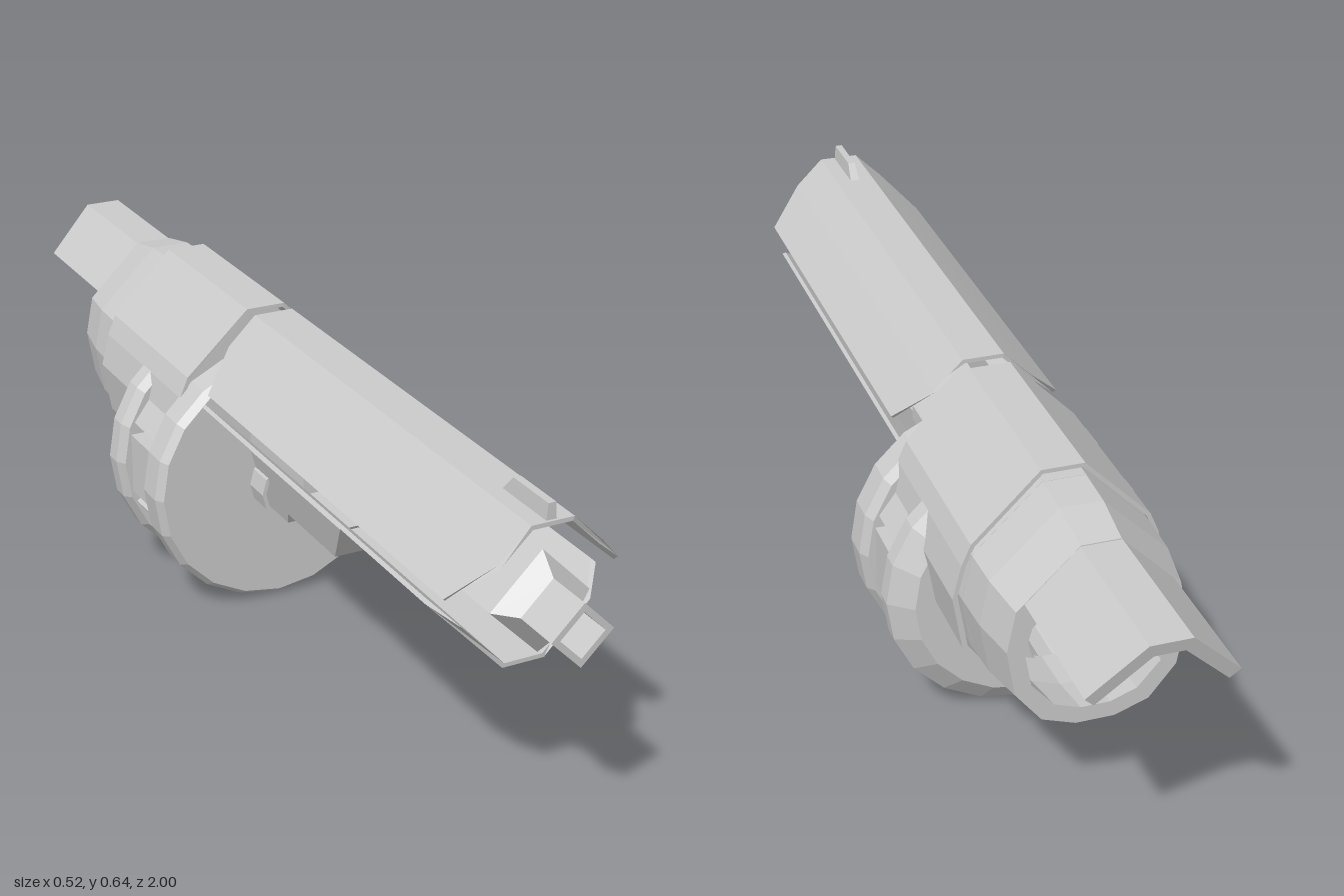
import * as THREE from 'three';

const material = new THREE.MeshStandardMaterial({ color: 0xcccccc, flatShading: true, side: THREE.DoubleSide });
const AXLE_Y = 0.262;

const toV2 = (pts) => pts.map(([x, y]) => new THREE.Vector2(x, y));

// Mirrors a half profile (listed from the middle outwards, x > 0) into a full one
const mirror = (half) => [...half.map(([x, y]) => [-x, y]).reverse(), ...half];

// Extrudes an outline along z from 0 to 1, then moves every vertex by a rule
function extrude(points, rule, holes = [], steps = 1) {
  const shape = new THREE.Shape(toV2(points));
  holes.forEach((h) => shape.holes.push(new THREE.Path(toV2(h))));
  const geo = new THREE.ExtrudeGeometry(shape, { depth: 1, bevelEnabled: false, steps });
  const p = geo.attributes.position;
  for (let i = 0; i < p.count; i++) p.setXYZ(i, ...rule(p.getX(i), p.getY(i), p.getZ(i)));
  geo.computeVertexNormals();
  return geo;
}

// Mitred offset of an open line, giving the other face of a bent sheet
function offsetLine(pts, t) {
  const v = toV2(pts);
  const normal = (a, b) => new THREE.Vector2(b.y - a.y, a.x - b.x).normalize();
  return v.map((p, i) => {
    const n0 = normal(v[Math.max(i - 1, 0)], v[Math.max(i, 1)]);
    const n1 = i < v.length - 1 ? normal(p, v[i + 1]) : n0;
    const n = n0.clone().add(n1).normalize();
    const d = t / n.dot(n1);
    return [p.x + n.x * d, p.y + n.y * d];
  });
}

// Bent sheet whose end positions along z depend on the height
function sheet(half, t, back, front) {
  const line = mirror(half);
  const outline = [...line, ...offsetLine(line, t).reverse()];
  return extrude(outline, (x, y, z) => [x, y, THREE.MathUtils.lerp(back(y), front(y), z)]);
}

// Piece drawn as a (z, y) side outline, with a half width depending on height
function sidePiece(outline, halfWidth) {
  return extrude(outline, (u, y, d) => [(0.5 - d) * 2 * halfWidth(y), y, u]);
}

// Turned piece about the z axis: profile is [radius, z]
function turned(profile, sides, y) {
  const geo = new THREE.LatheGeometry(toV2(profile), sides);
  geo.rotateX(Math.PI / 2);
  geo.translate(0, y, 0);
  return geo;
}

const circle = (r, n, y) => Array.from({ length: n }, (_, i) => {
  const a = (i / n) * Math.PI * 2;
  return [r * Math.sin(a), y - r * Math.cos(a)];
});

export function createModel() {
  const model = new THREE.Group();
  const add = (name, geo, parent = model) => {
    const mesh = new THREE.Mesh(geo, material);
    mesh.name = name;
    parent.add(mesh);
    return mesh;
  };
  const ramp = THREE.MathUtils.mapLinear;

  // Square barrel standing on its corner, with a stepped hollow muzzle
  add('barrel', turned([[0, -0.2], [0.094, -0.2], [0.094, 0.875], [0.058, 0.91],
    [0.058, 1], [0.042, 1], [0.042, 0.92], [0, 0.92]], 4, 0.455));

  // Long top cover with clipped corners
  const roof = [[0.04, 0.61], [0.096, 0.555], [0.165, 0.485]];
  add('topCover', sheet(roof, 0.008,
    (y) => (y > 0.55 ? -0.105 : ramp(y, 0.55, 0.48, -0.1, -0.05)),
    (y) => (y > 0.545 ? 0.9 : ramp(y, 0.545, 0.48, 0.9, 0.845))));

  // Front sight
  add('frontSight', sidePiece([[0.895, 0.605], [0.895, 0.64], [0.79, 0.64], [0.76, 0.605]],
    (y) => ramp(y, 0.605, 0.64, 0.01, 0.007)));

  // Open tray under the barrel
  add('lowerTray', sheet([[0.04, 0.32], [0.125, 0.409], [0.163, 0.447]], -0.008,
    () => -0.1, (y) => (y < 0.42 ? 0.835 : ramp(y, 0.42, 0.447, 0.83, 0.79))));

  // Block inside the tray and the tapered foregrip below it
  const block = new THREE.BoxGeometry(0.124, 0.045, 0.3);
  block.translate(0, 0.3625, 0.0);
  add('trayBlock', block);
  add('foregrip', sidePiece([[0.3, 0.335], [0.23, 0.24], [0.03, 0.24], [0.015, 0.213],
    [-0.085, 0.213], [-0.085, 0.335]], (y) => ramp(y, 0.213, 0.335, 0.028, 0.062)));

  // Drum: two flanges on a hollow hub, plates around the middle
  const drum = new THREE.Group();
  drum.name = 'drum';
  model.add(drum);
  add('drumBody', turned([[0.06, -0.37], [0.218, -0.37], [0.262, -0.335], [0.262, -0.3],
    [0.25, -0.28], [0.2, -0.28], [0.2, -0.175], [0.25, -0.175], [0.262, -0.155],
    [0.262, -0.1], [0.25, -0.083], [0.06, -0.083], [0.06, -0.37]], 20, AXLE_Y), drum);
  for (let i = 0; i < 10; i++) {
    const a = (i / 10) * Math.PI * 2;
    const plate = add('drumPlate', new THREE.BoxGeometry(0.04, 0.125, 0.11), drum);
    plate.position.set(0.215 * Math.cos(a), AXLE_Y + 0.215 * Math.sin(a), -0.2275);
    plate.rotation.z = a;
  }
  add('hubRing', turned([[0.056, -0.1], [0.064, -0.1], [0.064, -0.025], [0.056, -0.025],
    [0.056, -0.1]], 12, AXLE_Y));

  // Rear body core, pierced along the axle
  const core = mirror([[0.04, 0.59], [0.165, 0.468], [0.182, 0.38], [0.165, 0.28],
    [0.11, 0.21], [0.04, 0.185]]);
  add('rearCore', extrude(core, (x, y, z) => [x, y, -0.53 + z * 0.36],
    [circle(0.06, 12, AXLE_Y)]));

  // Rear cover sheet over the core
  add('rearCover', sheet([[0.04, 0.61], [0.165, 0.485], [0.182, 0.445], [0.198, 0.38]], 0.008,
    () => -0.525, (y) => (y > 0.59 ? -0.14 : -0.15)));

  // Rounded lower half of the rear sleeve
  add('rearSleeve', sheet([[0.045, 0.17], [0.125, 0.197], [0.18, 0.275], [0.198, 0.38]], -0.01,
    () => -0.525, () => -0.36));

  // Hollow tail, narrowing to the back
  const hollow = mirror([[0.035, 0.55], [0.132, 0.455], [0.148, 0.38], [0.132, 0.295],
    [0.085, 0.24], [0.03, 0.22]]);
  add('tail', extrude(core, (x, y, z) => {
    const s = z > 0.9 ? 1 : z > 0.4 ? 0.98 : 0.89;
    return [x * s, 0.388 + (y - 0.388) * s, -0.705 + z * 0.185];
  }, [hollow], 2));

  // Bent rear fin carried on from the tail roof
  add('rearFin', sheet([[0.037, 0.566], [0.132, 0.472]], 0.025,
    () => -1, () => -0.66));
  const fin = model.getObjectByName('rearFin').geometry.attributes.position;
  for (let i = 0; i < fin.count; i++) {
    if (fin.getZ(i) < -0.9) fin.setZ(i, ramp(fin.getY(i), 0.566, 0.46, -1, -0.975));
  }
  return model;
}
